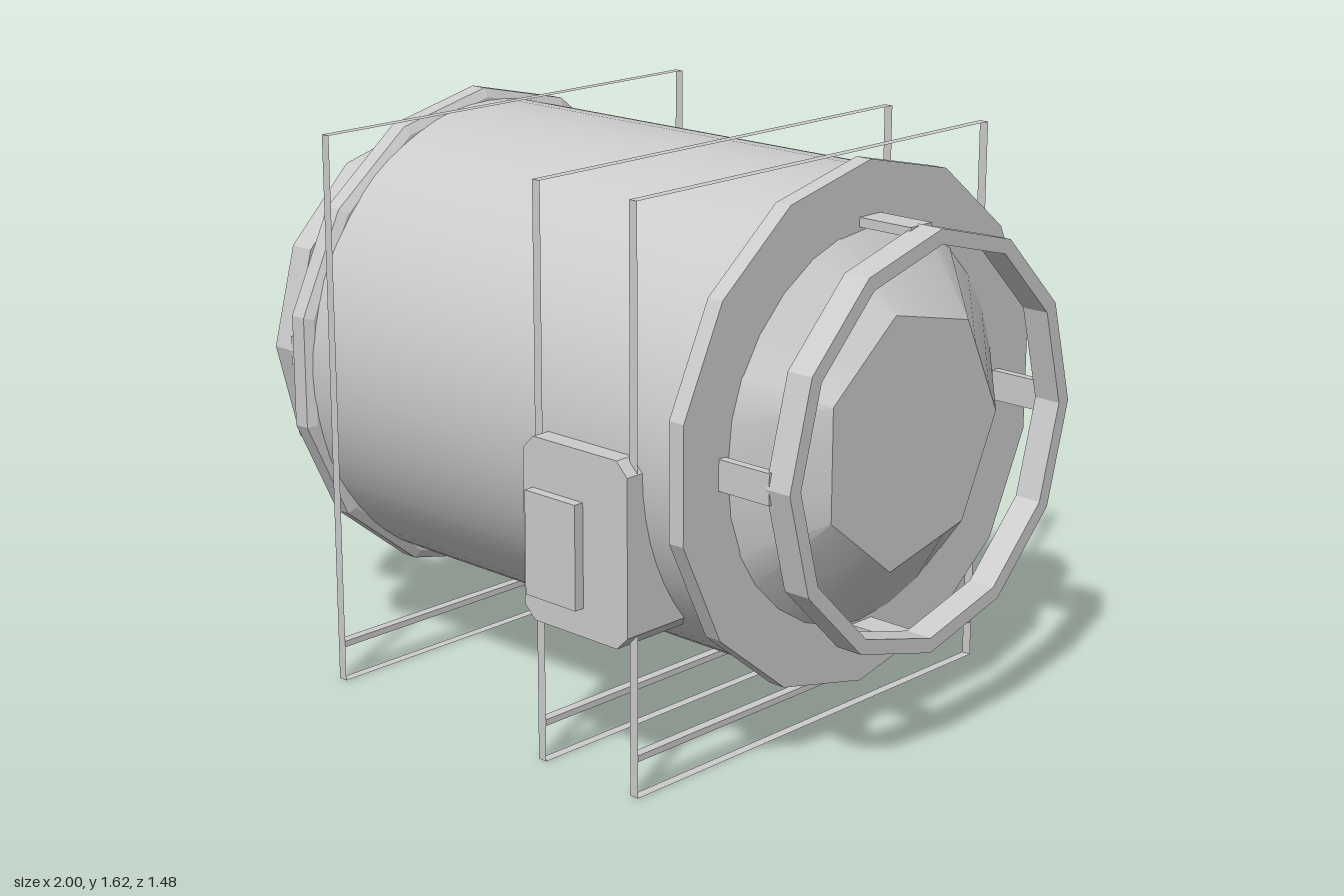
import * as THREE from 'three';
import { toCreasedNormals } from 'three/addons/utils/BufferGeometryUtils.js';

const CY = 0.897, CZ = -0.033; // drum axis
const material = new THREE.MeshStandardMaterial({ color: 0xcccccc });
const flat = new THREE.MeshStandardMaterial({ color: 0xcccccc, flatShading: true });
const sheet = new THREE.MeshStandardMaterial({ color: 0xcccccc, flatShading: true, side: THREE.DoubleSide });

function add(parent, name, geometry, mat = flat, x = 0, y = 0, z = 0) {
  const mesh = new THREE.Mesh(geometry, mat);
  mesh.name = name;
  mesh.position.set(x, y, z);
  parent.add(mesh);
  return mesh;
}

// Turned part from [radius, height] pairs
function turned(profile, sides, start) {
  return new THREE.LatheGeometry(profile.map(([r, h]) => new THREE.Vector2(r, h)), sides, start);
}

// Cone that blends from a round base into a seven-sided flat cap
function endCone() {
  const capRadius = 0.36, capHeight = 0.92;
  const geo = turned([[0.572, 0.74], [capRadius, capHeight], [0, capHeight]], 28, Math.PI);
  const p = geo.attributes.position;
  const step = Math.PI * 2 / 7;
  for (let i = 0; i < p.count; i++) {
    const x = p.getX(i), z = p.getZ(i), r = Math.hypot(x, z);
    if (r < 0.1 || p.getY(i) < capHeight - 0.01) continue;
    const angle = Math.atan2(x, z) + Math.PI + 1e-6;
    const k = Math.cos(step / 2) / Math.cos((angle % step) - step / 2);
    p.setX(i, x * k);
    p.setZ(i, z * k);
  }
  return toCreasedNormals(geo, 0.5);
}

// Flange, cone, struts and outer ring, built along +y
function createEnd() {
  const end = new THREE.Group();
  add(end, 'flange', turned([[0, 0.695], [0.7, 0.695], [0.726, 0.71], [0.726, 0.76], [0, 0.76]], 14, Math.PI / 2));
  add(end, 'endCone', endCone(), material);
  add(end, 'outerRing', turned([[0.538, 0.92], [0.58, 0.92], [0.58, 1], [0.538, 1], [0.538, 0.92]], 12, 0));
  for (let i = 0; i < 4; i++) {
    const a = i * Math.PI / 2;
    const strut = add(end, 'strut', new THREE.BoxGeometry(0.085, 0.18, 0.026), flat,
      Math.sin(a) * 0.565, 0.84, Math.cos(a) * 0.565);
    strut.rotation.y = a;
  }
  return end;
}

// Thin rectangular band around the drum with a cross bar near the foot
function createFrame(x) {
  const frame = new THREE.Group();
  frame.name = 'supportFrame';
  frame.position.set(x, 0, CZ);
  const width = 0.028, height = 1.6, depth = 1.412;
  for (const y of [0, height]) {
    const strip = add(frame, 'frameStrip', new THREE.PlaneGeometry(width, depth), sheet, 0, y, 0);
    strip.rotation.x = -Math.PI / 2;
  }
  for (const side of [-1, 1]) {
    add(frame, 'framePost', new THREE.PlaneGeometry(width, height), sheet, 0, height / 2, side * depth / 2);
  }
  add(frame, 'crossBar', new THREE.BoxGeometry(width, 0.018, depth), flat, 0, 0.112, 0);
  return frame;
}

// Control box with cut corners and a raised plate
function createControlBox() {
  const box = new THREE.Group();
  box.name = 'controlBox';
  const w = 0.19, h = 0.255, c = 0.038;
  const outline = new THREE.Shape([
    [-w + c, -h], [w - c, -h], [w, -h + c], [w, h - c],
    [w - c, h], [-w + c, h], [-w, h - c], [-w, -h + c],
  ].map(([x, y]) => new THREE.Vector2(x, y)));
  add(box, 'housing', new THREE.ExtrudeGeometry(outline, { depth: 0.3, bevelEnabled: false }), flat, 0.41, 0.675, 0.412);
  add(box, 'plate', new THREE.BoxGeometry(0.185, 0.29, 0.05), flat, 0.348, 0.645, 0.717);
  return box;
}

export function createModel() {
  const model = new THREE.Group();
  model.name = 'drumVessel';

  const drum = add(model, 'drum', new THREE.CylinderGeometry(0.69, 0.69, 1.4, 64), material, 0, CY, CZ);
  drum.rotation.z = Math.PI / 2;

  for (const side of [-1, 1]) {
    const end = createEnd();
    end.name = side > 0 ? 'leftEnd' : 'rightEnd';
    end.rotation.z = -side * Math.PI / 2;
    end.position.set(0, CY, CZ);
    model.add(end);
  }

  for (const x of [-0.59, 0.24, 0.585]) model.add(createFrame(x));
  model.add(createControlBox());
  return model;
}
